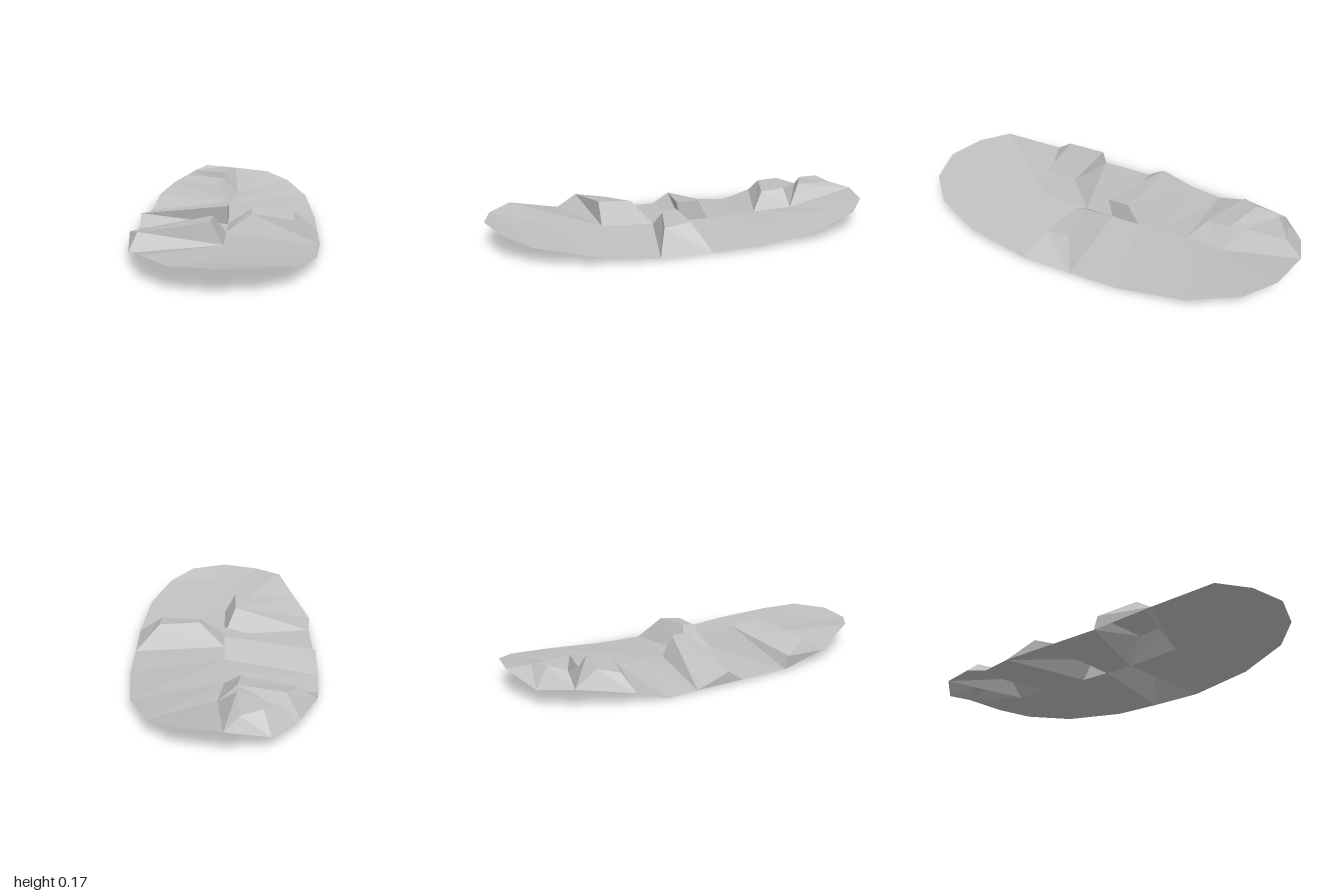
import * as THREE from 'three';

const stone = new THREE.MeshStandardMaterial({ color: 0xc0c0c0, flatShading: true, side: THREE.DoubleSide });
stone.name = 'pale grey';

// Corners shared by neighbouring parts
const mid = [0, 0.035, 0], seamFront = [0, 0.035, 0.15], seamBack = [0, 0.036, -0.15];
const frontTip = [0, 0.128, 1], backTip = [0, 0.13, -1];
const seamC = [0, 0.05, 0.42], seamD = [0, 0.045, -0.42], hub = [0.03, 0.06, -0.62];
const rimA0 = [0.465, 0.01, 0], rimA1 = [0.465, 0.01, 0.26];
const rimC0 = [-0.465, 0.01, 0.27], rimC1 = [-0.43, 0.05, 0.56];
const rimB0 = [-0.465, 0.01, -0.27], rimB1 = [-0.465, 0.01, 0];
const rimD = [-0.43, 0.05, -0.58], rimE = [-0.33, 0.09, -0.83];

function meshOf(name, polygons) {
  const pos = [];
  for (const p of polygons)
    for (let i = 1; i < p.length - 1; i++) {
      const [a, b, c] = [p[0], p[i], p[i + 1]];
      if (a !== b && b !== c && a !== c) pos.push(...a, ...b, ...c);
    }
  const g = new THREE.BufferGeometry();
  g.setAttribute('position', new THREE.Float32BufferAttribute(pos, 3));
  g.computeVertexNormals();
  const m = new THREE.Mesh(g, stone);
  m.name = name;
  return m;
}

// Quads between an outer and an inner rail, both clockwise from above
function band(outer, inner, closed = false) {
  const n = outer.length, out = [];
  for (let i = 0; i < (closed ? n : n - 1); i++) {
    const j = (i + 1) % n;
    out.push([outer[i], inner[i], inner[j], outer[j]]);
  }
  return out;
}

const sheet = (name, rim, seam) => meshOf(name, band(rim, seam));
const ridge = (name, base, top) => meshOf(name, [...band(base, top, true), [...top].reverse()]);

export function createModel() {
  const group = new THREE.Group();
  group.name = 'curvedShell';

  // Shallow shell, rising towards both ends
  const frontSeam = [seamC, [0, 0.075, 0.66], [0, 0.1, 0.85], frontTip];
  group.add(
    sheet('leftBackShell',
      [backTip, [0.2, 0.12, -0.95], [0.33, 0.09, -0.83], [0.43, 0.05, -0.59], [0.465, 0.015, -0.25], rimA0],
      [hub, hub, hub, seamD, seamBack, mid]),
    sheet('leftFrontShell',
      [rimA1, [0.43, 0.045, 0.58], [0.33, 0.085, 0.83], [0.2, 0.12, 0.95], frontTip],
      [seamFront, ...frontSeam]),
    sheet('rightFrontShell',
      [frontTip, [-0.2, 0.12, 0.95], [-0.33, 0.126, 0.83], rimC1],
      [...frontSeam].reverse()),
    sheet('rightMiddleShell', [rimC0, rimB1], [seamFront, mid]),
    sheet('rightBackShell',
      [rimB0, [-0.45, 0, -0.43], rimD],
      [seamBack, [0, 0.04, -0.28], seamD]),
  );

  // Flat-topped ridges, hollow underneath
  group.add(
    ridge('leftRidge',
      [mid, rimA0, rimA1, seamFront],
      [[0.13, 0.143, 0.07], [0.34, 0.133, 0.07], [0.34, 0.115, 0.2], [0.13, 0.13, 0.14]]),
    ridge('rightFrontRidge',
      [rimC0, seamFront, seamC, rimC1],
      [[-0.465, 0.075, 0.29], [-0.06, 0.15, 0.25], [-0.06, 0.163, 0.42], [-0.4, 0.122, 0.465]]),
    ridge('rightBackRidge',
      [rimE, hub, seamD, rimD],
      [[-0.28, 0.145, -0.69], [-0.06, 0.145, -0.62], [-0.08, 0.13, -0.5], [-0.34, 0.125, -0.6]]),
    ridge('endRidge',
      [[-0.2, 0.075, -0.95], backTip, hub, rimE],
      [[-0.17, 0.17, -0.88], [-0.07, 0.155, -0.91], [-0.06, 0.16, -0.71], [-0.24, 0.15, -0.815]]),
  );

  // Middle ridge with a steep front and a cut end on the centre line
  const crest = [-0.465, 0.065, -0.09];
  group.add(ridge('rightMiddleRidge',
    [rimB0, seamBack, mid, rimB1],
    [crest, [0, 0.138, -0.09], [0, 0.138, 0.02], crest]));

  return group;
}
